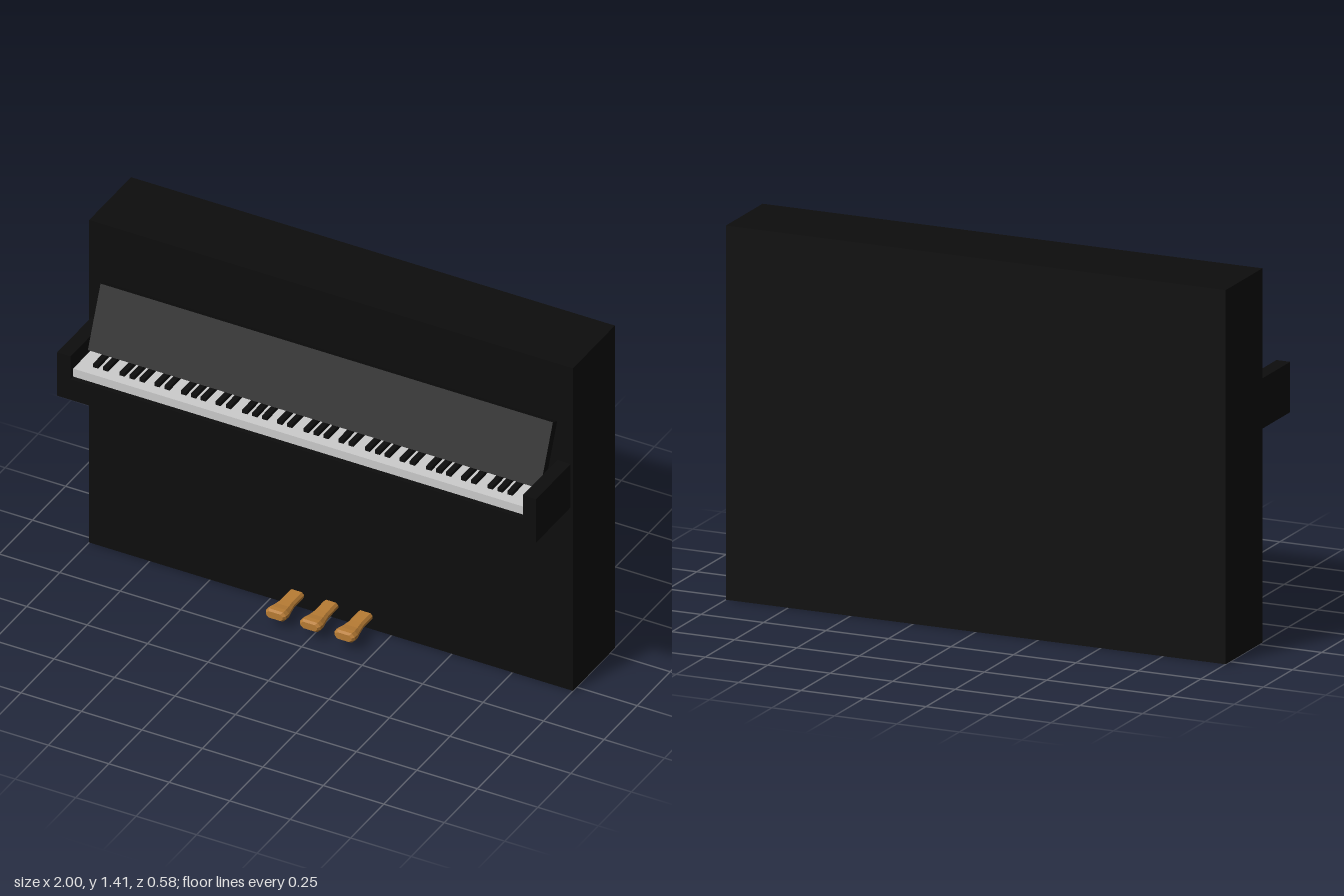
import * as THREE from 'three';

const mat = (color) => new THREE.MeshStandardMaterial({ color, flatShading: true });
const black = mat(0x0d0d0d);
const ivory = mat(0xcccccc);
const brass = mat(0xb87c34);

// Box given by its minimum and maximum on each axis
function box(name, [x0, x1], [y0, y1], [z0, z1], material) {
  const mesh = new THREE.Mesh(new THREE.BoxGeometry(x1 - x0, y1 - y0, z1 - z0), material);
  mesh.position.set((x0 + x1) / 2, (y0 + y1) / 2, (z0 + z1) / 2);
  mesh.name = name;
  return mesh;
}

// Pedal lofted through eight-sided sections: [z, half width, bottom, top]
function pedalGeometry() {
  const sections = [
    [0.0, 0.03, 0.038, 0.068],
    [0.1, 0.03, 0.038, 0.068],
    [0.135, 0.036, 0.037, 0.069],
    [0.165, 0.043, 0.035, 0.074],
    [0.185, 0.042, 0.035, 0.075],
    [0.196, 0.034, 0.042, 0.07],
  ];
  const points = [];
  const index = [];
  for (const [z, w, b, t] of sections) {
    const c = (t - b) * 0.32;
    const ring = [
      [w, b + c], [w, t - c], [w * 0.7, t], [-w * 0.7, t],
      [-w, t - c], [-w, b + c], [-w * 0.7, b], [w * 0.7, b],
    ];
    for (const [x, y] of ring) points.push(x, y, z);
  }
  const last = (sections.length - 1) * 8;
  for (let s = 0; s < last; s += 8) {
    for (let i = 0; i < 8; i++) {
      const j = (i + 1) % 8;
      index.push(s + i, s + j, s + 8 + j, s + i, s + 8 + j, s + 8 + i);
    }
  }
  for (let i = 1; i < 7; i++) {
    index.push(last, last + i, last + i + 1);
    index.push(0, i + 1, i);
  }
  const geometry = new THREE.BufferGeometry();
  geometry.setAttribute('position', new THREE.Float32BufferAttribute(points, 3));
  geometry.setIndex(index);
  const flat = geometry.toNonIndexed();
  flat.computeVertexNormals();
  return flat;
}

export function createModel() {
  const piano = new THREE.Group();
  piano.name = 'uprightPiano';

  // Case and key bed
  piano.add(box('case', [-1, 1], [0, 1.412], [-0.288, 0.028], black));
  piano.add(box('keyBed', [-0.99, 0.99], [0.8, 0.89], [0.02, 0.288], black));
  for (const s of [-1, 1]) {
    const xs = s > 0 ? [0.935, 0.99] : [-0.99, -0.935];
    piano.add(box(s > 0 ? 'leftArm' : 'rightArm', xs, [0.885, 0.99], [0.02, 0.288], black));
  }

  // Slanted fallboard, drawn as a side profile and extruded across the keys
  const profile = new THREE.Shape([
    new THREE.Vector2(0.157, 0.94),
    new THREE.Vector2(0.061, 1.174),
    new THREE.Vector2(0.028, 1.16),
    new THREE.Vector2(0.123, 0.926),
  ]);
  const boardGeometry = new THREE.ExtrudeGeometry(profile, { depth: 1.87, bevelEnabled: false });
  boardGeometry.rotateY(-Math.PI / 2);
  boardGeometry.translate(0.935, 0, 0);
  const fallboard = new THREE.Mesh(boardGeometry, black);
  fallboard.name = 'fallboard';
  piano.add(fallboard);

  // White keys as one slab, black keys in groups of two and three
  const keys = new THREE.Group();
  keys.name = 'keyboard';
  keys.add(box('whiteKeys', [-0.935, 0.935], [0.888, 0.925], [0.03, 0.268], ivory));
  for (let octave = 0; octave < 7; octave++) {
    for (const offset of [0, 0.042, 0.11, 0.151, 0.192]) {
      const x = -0.866 + octave * 0.2535 + offset;
      keys.add(box('blackKey', [x - 0.0105, x + 0.0105], [0.92, 0.94], [0.1, 0.225], black));
    }
  }
  piano.add(keys);

  // Three pedals
  const pedalShape = pedalGeometry();
  for (const x of [-0.142, 0, 0.142]) {
    const pedal = new THREE.Mesh(pedalShape, brass);
    pedal.name = 'pedal';
    pedal.position.x = x;
    piano.add(pedal);
  }
  return piano;
}
